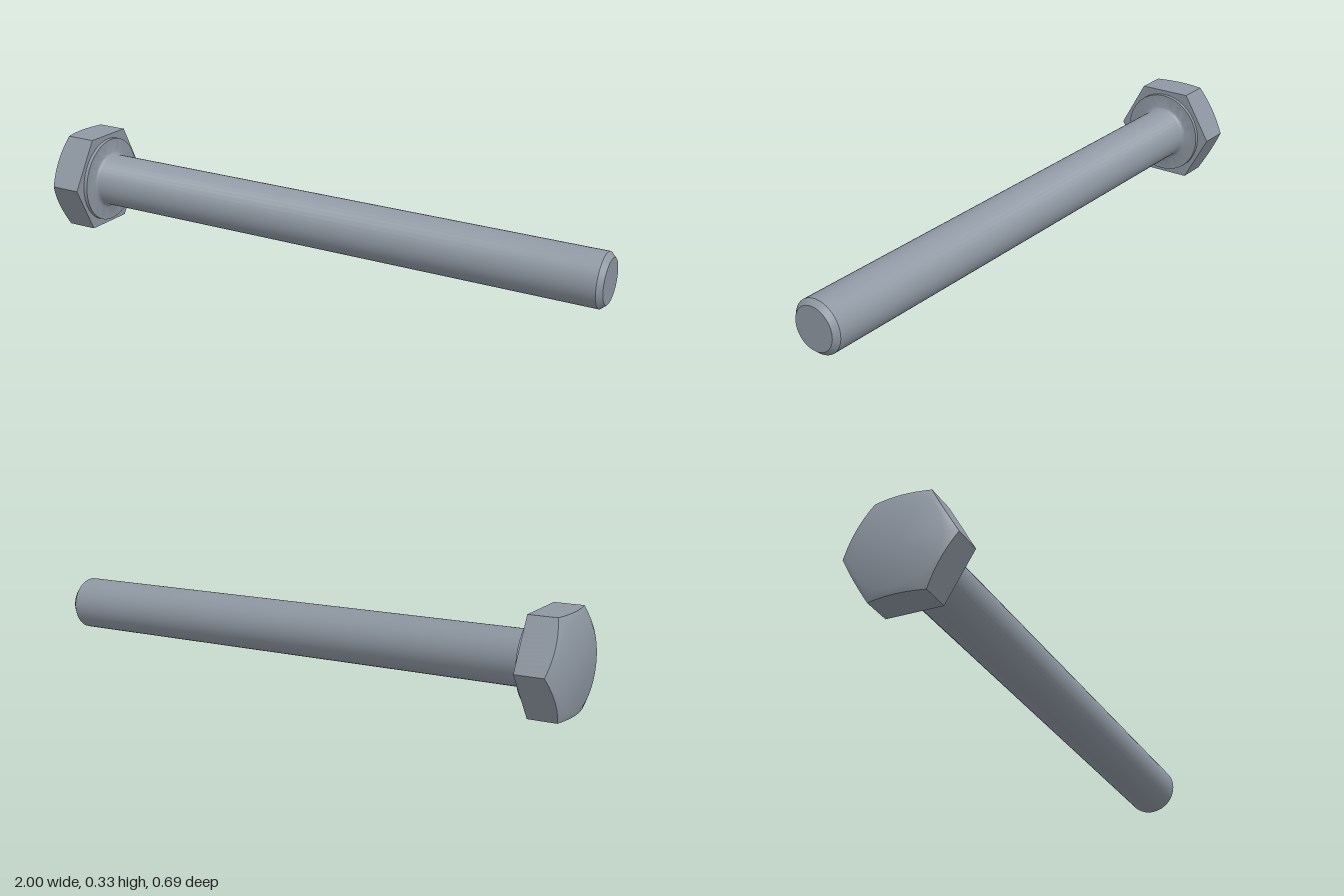
import * as THREE from 'three';
import { toCreasedNormals } from 'three/addons/utils/BufferGeometryUtils.js';

const FLAT = 0.165;      // half width across the flats of the head
const CROWN = 0.15;      // radius where the crown chamfer starts
const HEAD_H = 0.122;
const SHAFT_R = 0.092;
const LENGTH = 1.88;     // from underside of head to tip
const CREASE = 0.6;

// Hexagon radius at an angle, corners at multiples of 60 degrees
function hexRadius(a) {
  const s = Math.PI / 3;
  return FLAT / Math.cos((a % s) - s / 2);
}

// Hexagonal head with a conical chamfer that scallops the outer edges
function headGeometry() {
  const N = 72;
  const rings = [
    () => [0, 0],
    (h) => [h, 0],
    (h) => [h, -HEAD_H + (h - CROWN) * 0.5],
    () => [CROWN, -HEAD_H],
    () => [0, -HEAD_H],
  ];
  const pos = [], idx = [];
  for (const ring of rings) {
    for (let j = 0; j < N; j++) {
      const a = (j / N) * Math.PI * 2;
      const [r, y] = ring(hexRadius(a));
      pos.push(r * Math.cos(a), y, r * Math.sin(a));
    }
  }
  for (let i = 0; i < rings.length - 1; i++) {
    for (let j = 0; j < N; j++) {
      const k = (j + 1) % N;
      const a = i * N + j, b = i * N + k, c = a + N, d = b + N;
      if (i > 0) idx.push(a, b, c);
      if (i === 0) idx.push(a, d, c);
      else if (i < rings.length - 2) idx.push(b, d, c);
    }
  }
  const g = new THREE.BufferGeometry();
  g.setAttribute('position', new THREE.Float32BufferAttribute(pos, 3));
  g.setIndex(idx);
  return toCreasedNormals(g, CREASE);
}

// Washer face, root fillet, plain shaft and chamfered tip in one profile
function shaftGeometry() {
  const washer = 0.013, fillet = 0.016;
  const pts = [[0.15, 0], [0.15, washer]];
  for (let i = 0; i <= 4; i++) {
    const a = (i / 4) * Math.PI / 2;
    pts.push([
      SHAFT_R + fillet * (1 - Math.sin(a)),
      washer + fillet * (1 - Math.cos(a)),
    ]);
  }
  pts.push([SHAFT_R, LENGTH - 0.018], [0.0755, LENGTH], [0, LENGTH]);
  const g = new THREE.LatheGeometry(pts.map(([x, y]) => new THREE.Vector2(x, y)), 40);
  return toCreasedNormals(g, CREASE);
}

export function createModel() {
  const steel = new THREE.MeshStandardMaterial({ color: 0x8f98a3 });
  steel.name = 'steel';

  const head = new THREE.Mesh(headGeometry(), steel);
  head.name = 'hexHead';
  const shaft = new THREE.Mesh(shaftGeometry(), steel);
  shaft.name = 'shaft';

  // Lay the bolt down so that it rests on a head flat and its tip
  const bolt = new THREE.Group();
  bolt.name = 'bolt';
  bolt.add(head, shaft);
  const axis = new THREE.Vector3(1, -0.039, 0.2146).normalize();
  const side = new THREE.Vector3(-axis.z, 0, axis.x).normalize();
  const up = new THREE.Vector3().crossVectors(side, axis);
  bolt.quaternion.setFromRotationMatrix(new THREE.Matrix4().makeBasis(side, axis, up));
  bolt.position.set(-0.855, 0.165, -0.138);

  const model = new THREE.Group();
  model.name = 'hexBolt';
  model.add(bolt);
  return model;
}
